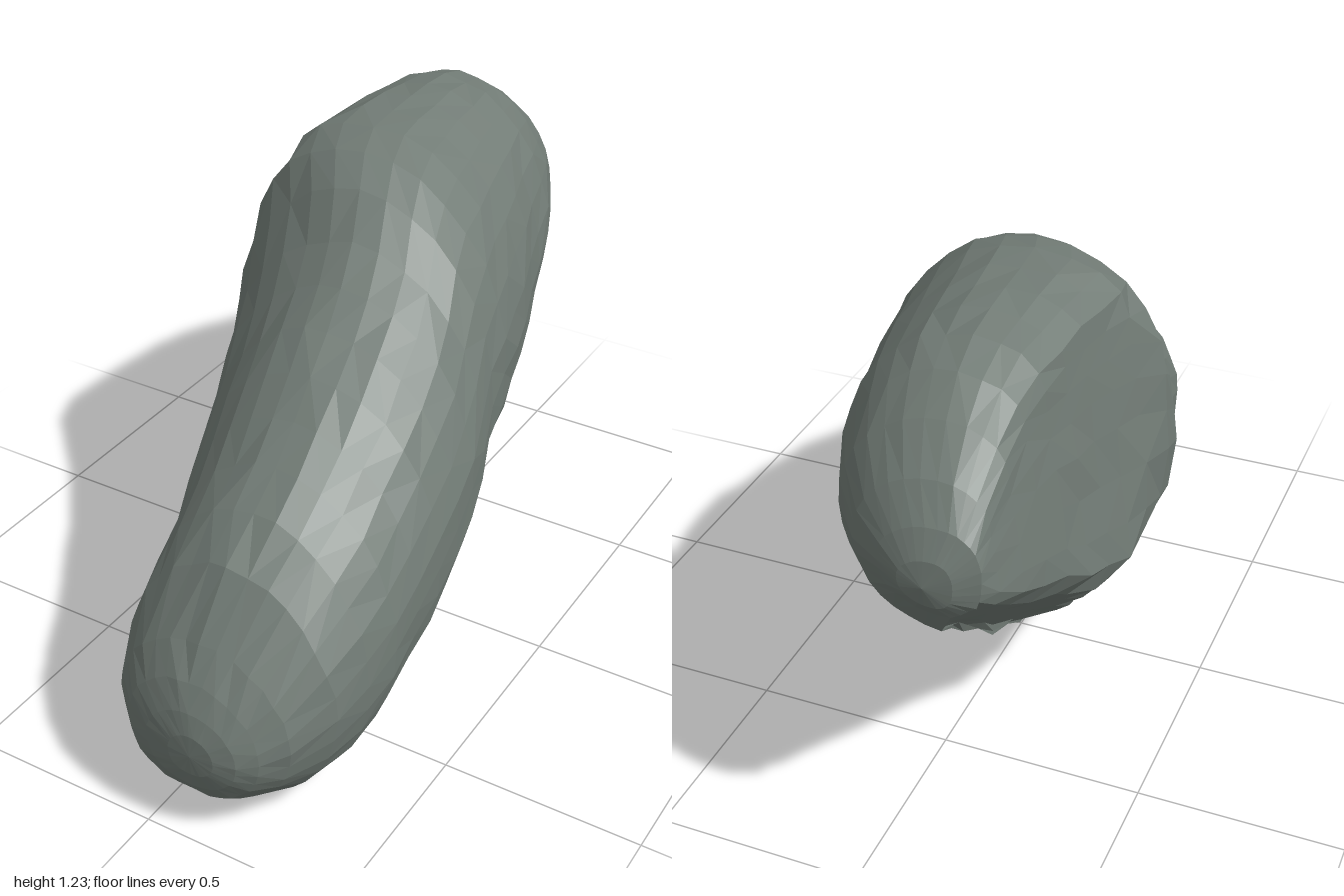
import * as THREE from 'three';

// Cross-sections along the boulder: z, top y, bottom y, -x edge, +x edge
const SECTIONS = [
  [0.996, 0.31, 0.2, 0.07, 0.19], [0.98, 0.36, 0.15, 0.0, 0.24],
  [0.95, 0.42, 0.10, -0.07, 0.28], [0.9, 0.49, 0.065, -0.125, 0.33],
  [0.8, 0.63, 0.015, -0.165, 0.385], [0.7, 0.715, -0.005, -0.18, 0.41],
  [0.6, 0.775, 0.005, -0.2, 0.42], [0.5, 0.835, 0.03, -0.23, 0.42],
  [0.4, 0.9, 0.07, -0.26, 0.42], [0.3, 0.955, 0.1, -0.29, 0.41],
  [0.2, 1.015, 0.14, -0.325, 0.4], [0.1, 1.075, 0.17, -0.36, 0.37],
  [0, 1.16, 0.2, -0.4, 0.34], [-0.1, 1.21, 0.22, -0.42, 0.32],
  [-0.2, 1.23, 0.235, -0.41, 0.3], [-0.3, 1.235, 0.26, -0.39, 0.27],
  [-0.4, 1.235, 0.32, -0.37, 0.24], [-0.5, 1.23, 0.37, -0.35, 0.21],
  [-0.6, 1.22, 0.46, -0.33, 0.18], [-0.7, 1.19, 0.53, -0.32, 0.14],
  [-0.8, 1.135, 0.62, -0.315, 0.09], [-0.9, 1.06, 0.69, -0.305, 0.01],
  [-0.96, 0.99, 0.78, -0.295, -0.07], [-0.99, 0.93, 0.82, -0.25, -0.13],
];
const SIDES = 32;

// Jagged -x limit of the stone, as y, x
const LIMIT = [
  [-0.01, 0.02], [0.06, -0.11], [0.15, -0.175], [0.27, -0.21], [0.52, -0.39], [0.82, -0.425],
  [0.97, -0.405], [1.03, -0.36], [1.18, -0.31], [1.24, -0.18],
];
function limitAt(y) {
  const k = Math.max(1, LIMIT.findIndex(([h]) => h >= y));
  const [y0, x0] = LIMIT[k - 1], [y1, x1] = LIMIT[k];
  return x0 + ((x1 - x0) * (y - y0)) / (y1 - y0);
}

// Broken flat face on the -x side of the rear half, swelling at its front edge
const brokenFace = (y, z) =>
  -0.315 + 0.134 * (y - 1.15) - 0.055 * (z + 0.15) - 0.05 * Math.exp(-(((z + 0.06) / 0.16) ** 2));

// Second break, facing down and back under the rear tip
const underFace = (y, z) => -0.37 - 1.38 * (y - 0.5) - 0.9 * (z + 0.38);

// Small repeatable noise in -1..1
const noise = (i, j) => {
  const s = Math.sin(i * 127.1 + j * 311.7) * 43758.5453;
  return (s - Math.floor(s)) * 2 - 1;
};

function sectionPoint([z, top, bottom, left, right], i, j) {
  const t = (j / SIDES) * Math.PI * 2;
  const c = Math.cos(t), s = Math.sin(t);
  const rear = THREE.MathUtils.smoothstep(-z, -0.05, 0.25);
  const size = Math.min(1, (right - left) / 0.5);
  const cx = (left + right) / 2 - 0.06 * rear * size;
  const cy = (top + bottom) / 2;
  // The -x half slopes off above and is squarer below; the +x half is round
  const power = c >= 0 ? 1 : 2 / (s > 0 ? 1.85 + 0.55 * rear : 2.65 - 0.25 * rear);
  const radius = c < 0 ? (cx - left) * (1 + 0.2 * rear * size) : right - cx;
  const y = cy + ((top - bottom) / 2) * Math.sign(s) * Math.abs(s) ** power;
  let x = cx + radius * Math.sign(c) * Math.abs(c) ** power;
  x = Math.max(x, limitAt(y));
  if (z < 0.05) x = Math.max(x, brokenFace(y, z), Math.min(cx, underFace(y, z)));
  const n = 0.005 * size * size;
  return [
    x + n * noise(i, j) * Math.abs(c),
    Math.max(0, y + n * noise(j + 50, i) * Math.abs(s)),
    z + n * noise(i + 9, j + 90),
  ];
}

function boulderGeometry() {
  const positions = [], index = [];
  SECTIONS.forEach((section, i) => {
    for (let j = 0; j < SIDES; j++) positions.push(...sectionPoint(section, i, j));
  });
  const last = (SECTIONS.length - 1) * SIDES;
  const front = positions.length / 3, back = front + 1;
  positions.push(0.13, 0.255, 1, -0.19, 0.87, -1);
  for (let j = 0; j < SIDES; j++) {
    const k = (j + 1) % SIDES;
    for (let a = 0; a < last; a += SIDES) {
      const p = a + j, q = a + k, r = p + SIDES, s = q + SIDES;
      // Alternate the diagonals for an irregular stone surface
      if (noise(p, 3) > 0) index.push(p, r, q, q, r, s);
      else index.push(p, r, s, p, s, q);
    }
    index.push(front, j, k, back, last + k, last + j);
  }
  const geometry = new THREE.BufferGeometry();
  geometry.setAttribute('position', new THREE.Float32BufferAttribute(positions, 3));
  geometry.setIndex(index);
  geometry.computeVertexNormals();
  return geometry;
}

export function createModel() {
  const group = new THREE.Group();
  group.name = 'rock';
  const stone = new THREE.MeshStandardMaterial({ color: 0x727c76, flatShading: true });
  const boulder = new THREE.Mesh(boulderGeometry(), stone);
  boulder.name = 'boulder';
  group.add(boulder);
  return group;
}
